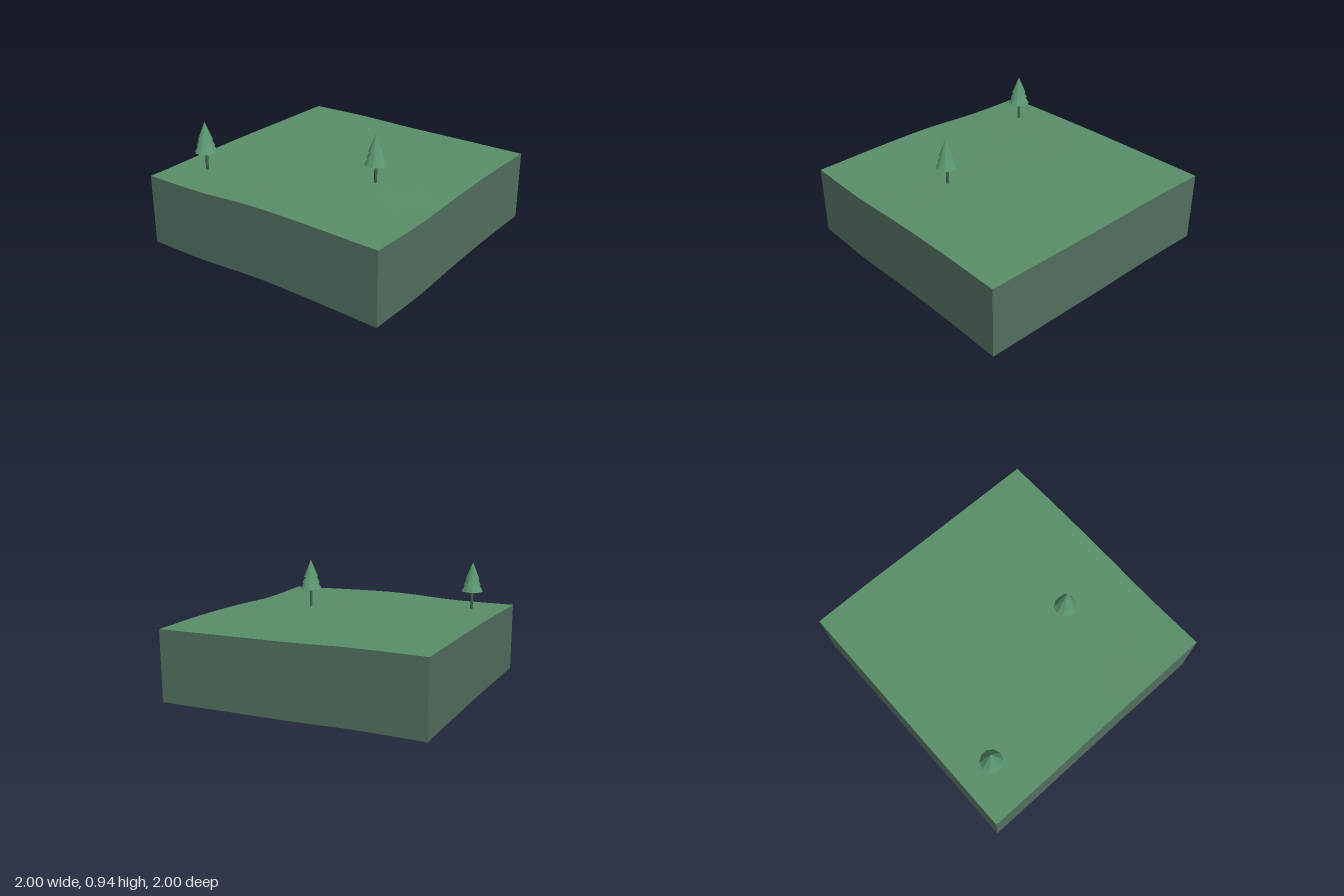
import * as THREE from 'three';

const DEPTH = 0.535; // constant drop of the skirt below the ground
const SEG = 24;

// Smooth edge profile through five evenly spaced heights
function profile(heights) {
  const curve = new THREE.SplineCurve(heights.map((h, i) => new THREE.Vector2(i / 4, h)));
  return (t) => curve.getPoint(THREE.MathUtils.clamp(t, 0, 1)).y;
}
const front = profile([0.547, 0.535, 0.555, 0.564, 0.558]);
const back = profile([0.545, 0.56, 0.572, 0.578, 0.583]);
const west = profile([0.545, 0.545, 0.568, 0.562, 0.547]);
const east = profile([0.583, 0.584, 0.571, 0.565, 0.558]);

// Ground height: a patch blended between the four edge profiles
function groundHeight(x, z) {
  const u = (x + 1) / 2, v = (z + 1) / 2, mix = THREE.MathUtils.lerp;
  const corners = mix(mix(back(0), back(1), u), mix(front(0), front(1), u), v);
  return mix(back(u), front(u), v) + mix(west(v), east(v), u) - corners;
}

// Lift a flat or upright sheet onto the ground shape
function drape(geometry) {
  const p = geometry.attributes.position;
  for (let i = 0; i < p.count; i++) {
    p.setY(i, p.getY(i) + groundHeight(p.getX(i), p.getZ(i)));
  }
  geometry.computeVertexNormals();
  return geometry;
}

export function createModel() {
  const grass = new THREE.MeshStandardMaterial({ color: 0x5a8f69, side: THREE.DoubleSide });
  grass.name = 'grass green';
  const earth = new THREE.MeshStandardMaterial({ color: 0x53705f, side: THREE.DoubleSide });
  earth.name = 'grey green earth';
  const needles = new THREE.MeshStandardMaterial({ color: 0x5a966f, flatShading: true });
  needles.name = 'needle green';
  const bark = new THREE.MeshStandardMaterial({ color: 0x41614e, flatShading: true });
  bark.name = 'dark bark';

  const model = new THREE.Group();
  model.name = 'landscapeTile';
  const add = (parent, name, geometry, material) => {
    const mesh = new THREE.Mesh(geometry, material);
    mesh.name = name;
    parent.add(mesh);
    return mesh;
  };

  // Rolling ground
  add(model, 'ground', drape(new THREE.PlaneGeometry(2, 2, SEG, SEG).rotateX(-Math.PI / 2)), grass);

  // Four side walls, open underneath
  ['frontWall', 'leftWall', 'backWall', 'rightWall'].forEach((name, i) => {
    const wall = new THREE.PlaneGeometry(2, DEPTH, SEG, 1)
      .translate(0, -DEPTH / 2, 1)
      .rotateY((i * Math.PI) / 2);
    add(model, name, drape(wall), earth);
  });

  // Conifers: thin trunk and three stacked cones [radius, bottom, top]
  const tiers = [[0.085, 0.137, 0.285], [0.068, 0.187, 0.33], [0.056, 0.233, 0.368]];
  [[-0.67, -0.75, 0.555], [-0.17, 0.42, 0.567]].forEach(([x, z, y]) => {
    const tree = new THREE.Group();
    tree.name = 'tree';
    tree.position.set(x, y, z);
    add(tree, 'trunk', new THREE.CylinderGeometry(0.011, 0.011, 0.18, 8).translate(0, 0.07, 0), bark);
    for (const [radius, bottom, top] of tiers) {
      const cone = new THREE.ConeGeometry(radius, top - bottom, 10).translate(0, (top + bottom) / 2, 0);
      add(tree, 'branches', cone, needles);
    }
    model.add(tree);
  });

  return model;
}
